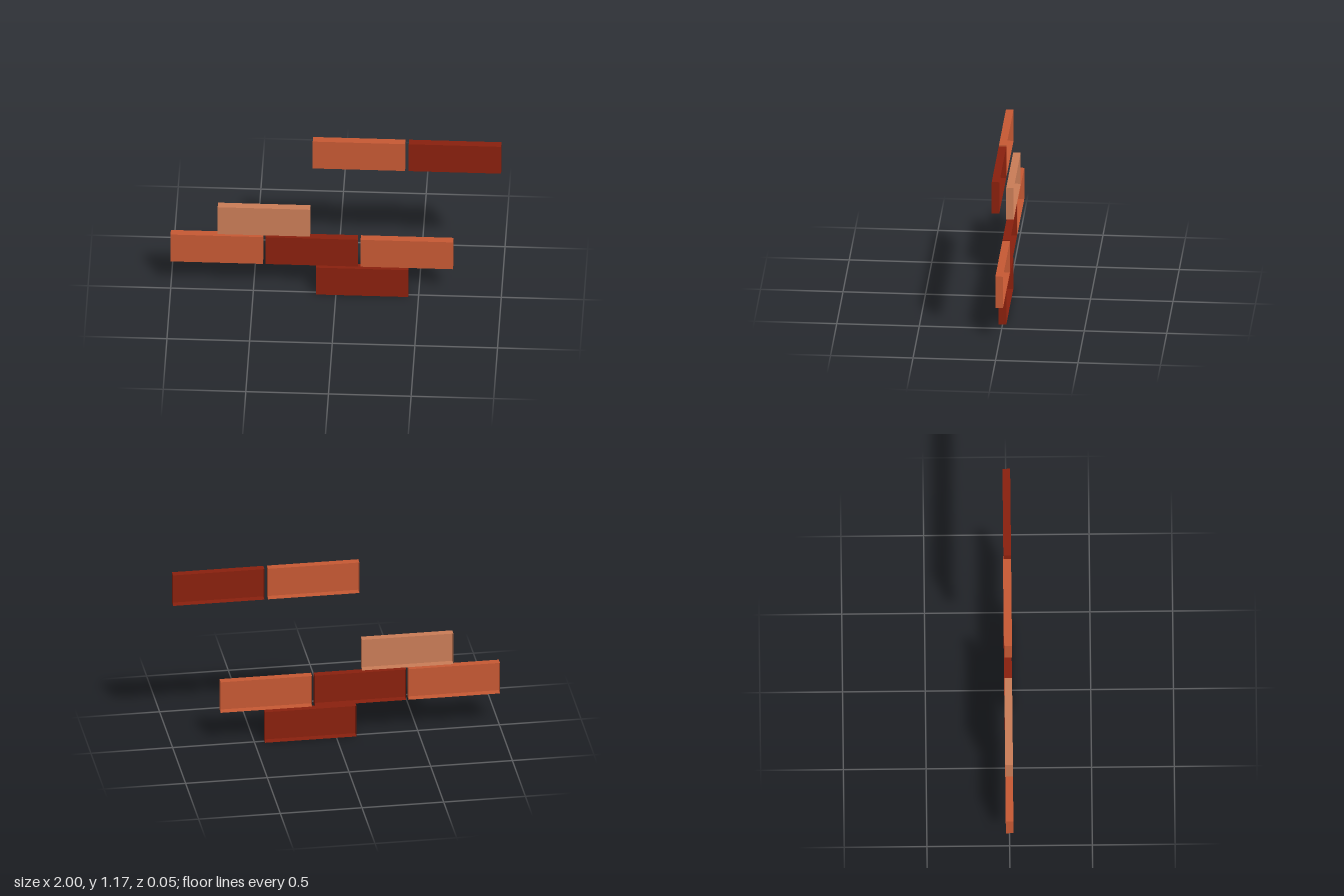
import * as THREE from 'three';

const WIDTH = 0.559, HEIGHT = 0.205, DEPTH = 0.046;

// Brick shell: a box left open at the back
function brickGeometry() {
  const g = new THREE.BoxGeometry(WIDTH, HEIGHT, DEPTH);
  g.setIndex(Array.from(g.index.array.slice(0, 30))); // the last 6 indices are the back face
  g.clearGroups();
  return g;
}

function material(name, color) {
  return new THREE.MeshStandardMaterial({ name, color, side: THREE.DoubleSide });
}

export function createModel() {
  const model = new THREE.Group();
  model.name = 'brickCluster';

  const orange = material('brickOrange', 0xc45833);
  const dark = material('darkRed', 0x88200d);
  const pale = material('paleClay', 0xc87b56);
  const geometry = brickGeometry();

  // Left edge, bottom edge and colour of each brick
  const bricks = [
    ['bottomBrick', -0.121, 0, dark],
    ['middleRowBrick1', -1, 0.222, orange],
    ['middleRowBrick2', -0.426, 0.222, dark],
    ['middleRowBrick3', 0.15, 0.222, orange],
    ['upperBrick', -0.715, 0.441, pale],
    ['topRowBrick1', -0.14, 0.963, orange],
    ['topRowBrick2', 0.441, 0.963, dark],
  ];
  for (const [name, x, y, mat] of bricks) {
    const brick = new THREE.Mesh(geometry, mat);
    brick.name = name;
    brick.position.set(x + WIDTH / 2, y + HEIGHT / 2, 0);
    model.add(brick);
  }
  return model;
}
